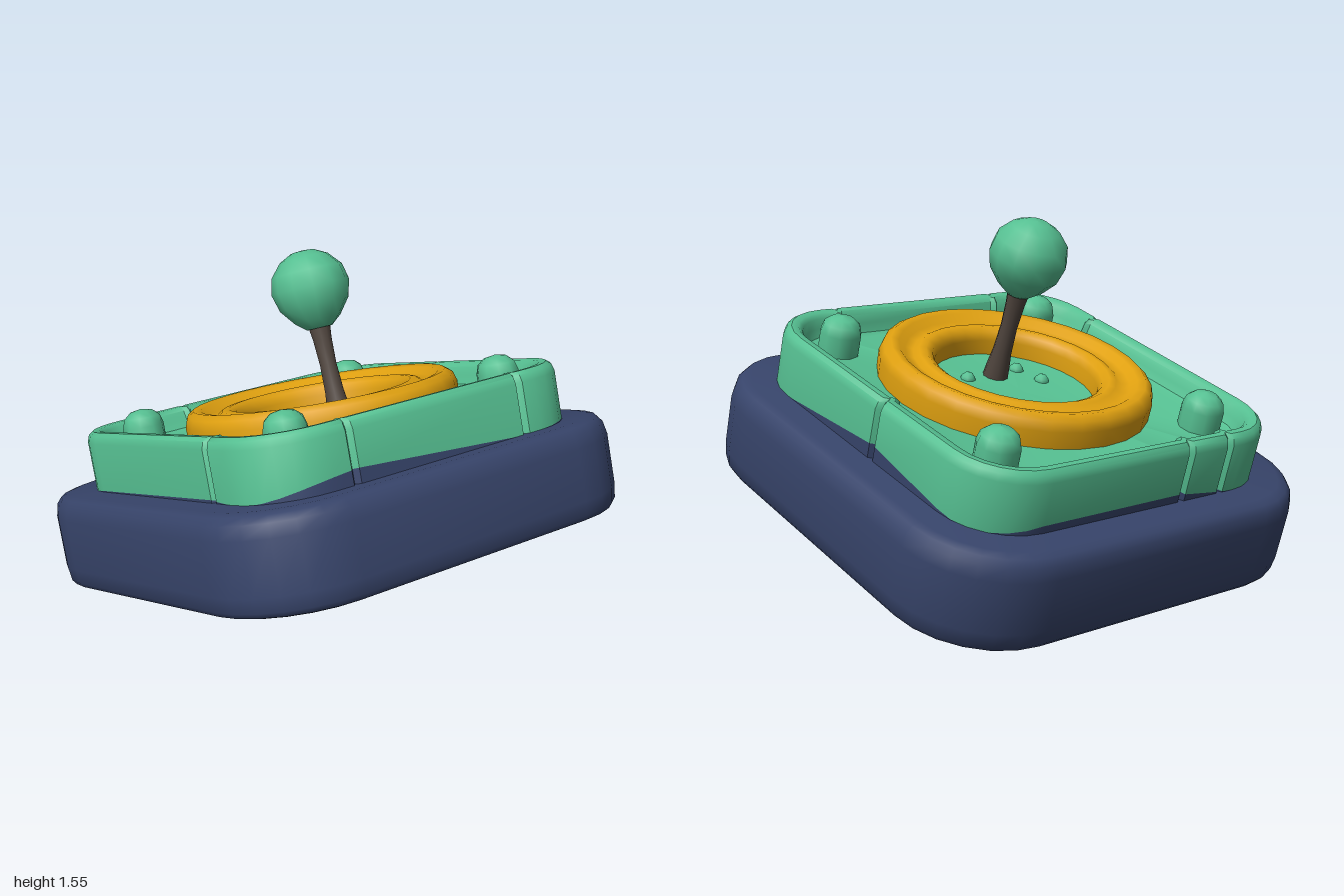
import * as THREE from 'three';
import { toCreasedNormals } from 'three/addons/utils/BufferGeometryUtils.js';

const mat = (name, color) => {
  const m = new THREE.MeshStandardMaterial({ color });
  m.name = name;
  return m;
};

// Rounded rectangle in x/z, with small V notches at given places on each side
// (sides in order: front, -x, back, +x; notch places in travel order)
function outline(hx, hz, r, notches = [[], [], [], []]) {
  const pts = [], seg = 6, w = 0.018, depth = 0.022;
  const signs = [[1, 1], [-1, 1], [-1, -1], [1, -1]];
  signs.forEach(([sx, sz], c) => {
    for (let i = 0; i <= seg; i++) {
      const a = (c + i / seg) * Math.PI / 2;
      pts.push([sx * (hx - r) + r * Math.cos(a), sz * (hz - r) + r * Math.sin(a)]);
    }
    const dir = c < 2 ? -1 : 1;
    for (const v of notches[c]) {
      for (const k of [-1, 0, 1]) {
        const t = v + k * w * dir, inset = k === 0 ? depth : 0;
        pts.push([[t, hz - inset], [-hx + inset, t], [t, -hz + inset], [hx - inset, t]][c]);
      }
    }
  });
  return pts;
}

// Skin through levels [inset, height]; height may be a function of x and z
function loft({ hx, hz, r, notches, levels, bottom, top }) {
  const pos = [], idx = [];
  let n = 0;
  for (const [inset, h] of levels) {
    const ring = outline(hx - inset, hz - inset, r - inset, notches);
    n = ring.length;
    for (const [x, z] of ring) pos.push(x, typeof h === 'function' ? h(x, z) : h, z);
  }
  for (let l = 0; l < levels.length - 1; l++) {
    for (let i = 0; i < n; i++) {
      const j = (i + 1) % n, a = l * n, b = a + n;
      idx.push(a + i, b + i, a + j, b + i, b + j, a + j);
    }
  }
  const cap = (row, up) => {
    const c = pos.length / 3;
    pos.push(0, levels[row][1], 0);
    for (let i = 0; i < n; i++) {
      const p = row * n + i, q = row * n + (i + 1) % n;
      idx.push(c, up ? q : p, up ? p : q);
    }
  };
  if (bottom) cap(0, false);
  if (top) cap(levels.length - 1, true);
  const g = new THREE.BufferGeometry();
  g.setAttribute('position', new THREE.Float32BufferAttribute(pos, 3));
  g.setIndex(idx);
  return toCreasedNormals(g, 0.7);
}

const lathe = (pts, seg) =>
  new THREE.LatheGeometry(pts.map(([x, y]) => new THREE.Vector2(x, y)), seg);

export function createModel() {
  const navy = mat('navy', 0x37446a);
  const green = mat('green', 0x56c092);
  const gold = mat('gold', 0xdfa010);
  const brown = mat('brown', 0x51463f);

  const model = new THREE.Group();
  model.name = 'joystickPanel';

  // Everything sits on a plane tilted up toward the front
  const body = new THREE.Group();
  body.name = 'tiltedBody';
  body.position.set(0, 0.28, 0.07);
  body.rotation.x = -0.285;
  model.add(body);

  const add = (parent, name, geo, material, x = 0, y = 0, z = 0) => {
    const m = new THREE.Mesh(geo, material);
    m.name = name;
    m.position.set(x, y, z);
    parent.add(m);
    return m;
  };

  // Heavy base block with rounded edges
  add(body, 'base', loft({
    hx: 1, hz: 0.99, r: 0.42, bottom: true, top: true,
    levels: [[0.05, 0], [0.025, 0.008], [0.008, 0.03], [0, 0.09], [0, 0.31],
      [0.012, 0.365], [0.035, 0.392], [0.075, 0.402]],
  }), navy);

  // Tray with raised rim; its foot has a wavy base-coloured edge
  const wave = (x, z) => 0.432 + 0.033 * Math.sin(5 * z + 4 * x - 1.2);
  const tray = {
    hx: 0.82, hz: 0.825, r: 0.29,
    notches: [[0.45, -0.43], [0.4], [-0.45, -0.22], [-0.09]],
  };
  add(body, 'trayFoot', loft({ ...tray, levels: [[0, 0.38], [0, wave]] }), navy, 0, 0, 0.015);
  add(body, 'tray', loft({
    ...tray, top: true,
    levels: [[0, wave], [0, 0.615], [0.01, 0.645], [0.03, 0.66], [0.06, 0.658],
      [0.08, 0.64], [0.092, 0.6], [0.11, 0.565], [0.14, 0.555]],
  }), green, 0, 0, 0.015);

  // Domed bolts in the four corners
  const bolt = lathe([[0.092, 0], [0.092, 0.1], [0.08, 0.14], [0.05, 0.165], [0, 0.175]], 10);
  for (const s of [-1, 1]) {
    add(body, 'backBolt', bolt, green, s * 0.57, 0.545, -0.52);
    add(body, 'frontBolt', bolt, green, s * 0.555, 0.545, 0.597);
  }

  // Grooved ring around the stick
  add(body, 'ring', lathe([[0.595, 0.53], [0.598, 0.63], [0.585, 0.67], [0.555, 0.692],
    [0.52, 0.685], [0.49, 0.66], [0.455, 0.652], [0.43, 0.668], [0.4, 0.672],
    [0.37, 0.655], [0.357, 0.62], [0.355, 0.53]], 28), gold, 0, 0, 0.058);

  // Small studs near the stick
  const stud = new THREE.SphereGeometry(0.034, 8, 6);
  for (const [x, z] of [[-0.14, 0.21], [0.15, 0.19], [-0.18, 0.08]]) {
    add(body, 'stud', stud, green, x, 0.552, z);
  }

  // Stick and ball knob, leaning slightly back
  const stick = new THREE.Group();
  stick.name = 'stick';
  stick.position.set(0, 0.55, 0.185);
  stick.rotation.x = -0.1;
  body.add(stick);
  add(stick, 'shaft', lathe([[0.058, -0.02], [0.052, 0.05], [0.042, 0.13], [0.037, 0.25],
    [0.042, 0.36], [0.052, 0.44]], 10), brown);
  add(stick, 'knob', lathe([[0, -0.175], [0.055, -0.172], [0.1, -0.135], [0.15, -0.07],
    [0.17, 0.005], [0.155, 0.075], [0.105, 0.132], [0.05, 0.16], [0, 0.165]], 12),
  green, 0, 0.58, 0);

  return model;
}
